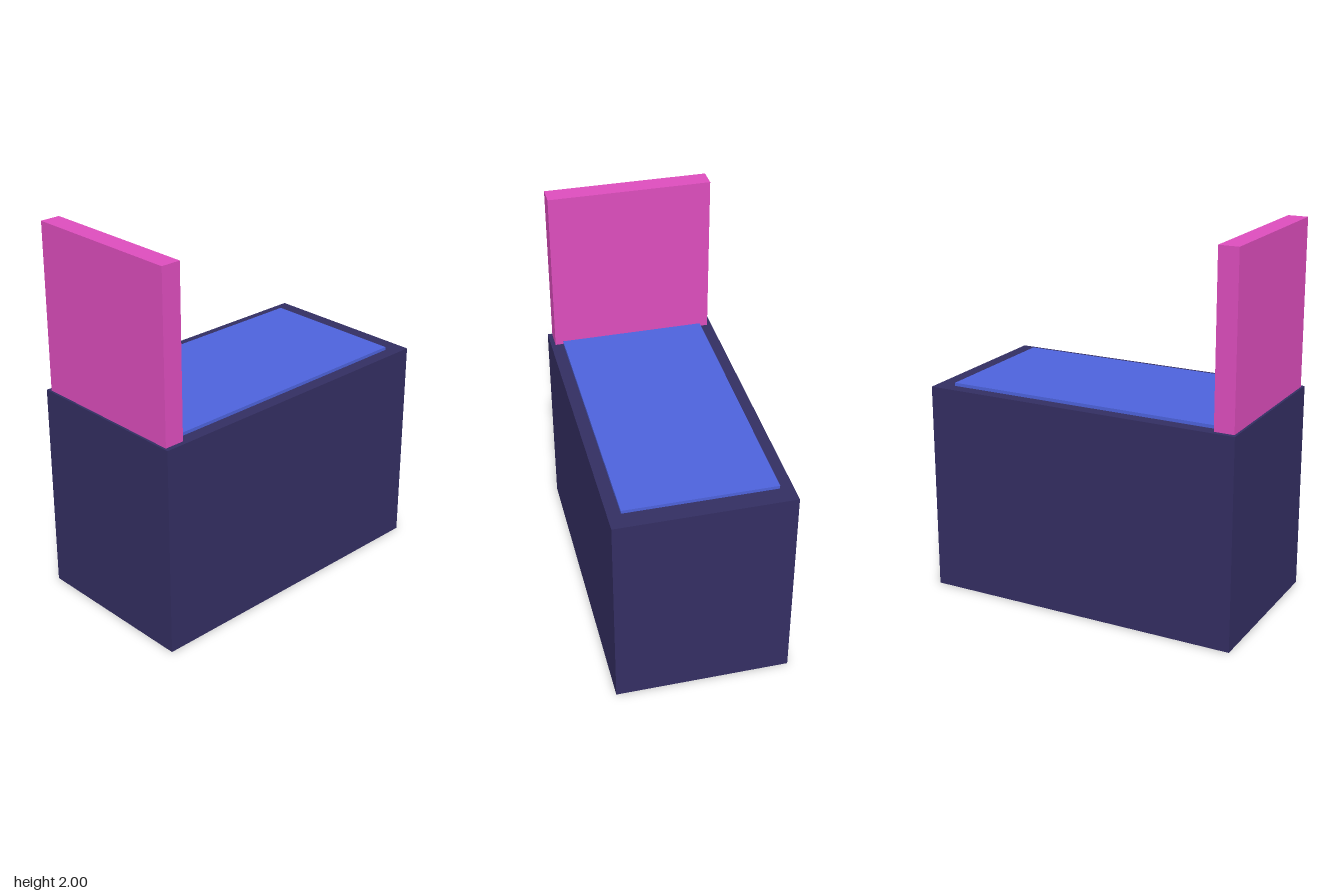
import * as THREE from 'three';

export function createModel() {
  const model = new THREE.Group();

  // Box spanning min..max on each axis
  const addBox = (name, color, [x0, x1], [y0, y1], [z0, z1]) => {
    const mesh = new THREE.Mesh(
      new THREE.BoxGeometry(x1 - x0, y1 - y0, z1 - z0),
      new THREE.MeshStandardMaterial({ color, flatShading: true })
    );
    mesh.name = name;
    mesh.position.set((x0 + x1) / 2, (y0 + y1) / 2, (z0 + z1) / 2);
    model.add(mesh);
  };

  // Solid dark base
  addBox('base', 0x332e62, [-0.457, 0.457], [0, 1.114], [-0.852, 0.852]);
  // Thin inset pad on top, ending at the upright panel
  addBox('topPad', 0x4d63dc, [-0.39, 0.39], [1.114, 1.131], [-0.752, 0.736]);
  // Upright panel along the front edge
  addBox('uprightPanel', 0xdd4dbd, [-0.433, 0.433], [1.114, 2], [0.735, 0.84]);

  return model;
}
